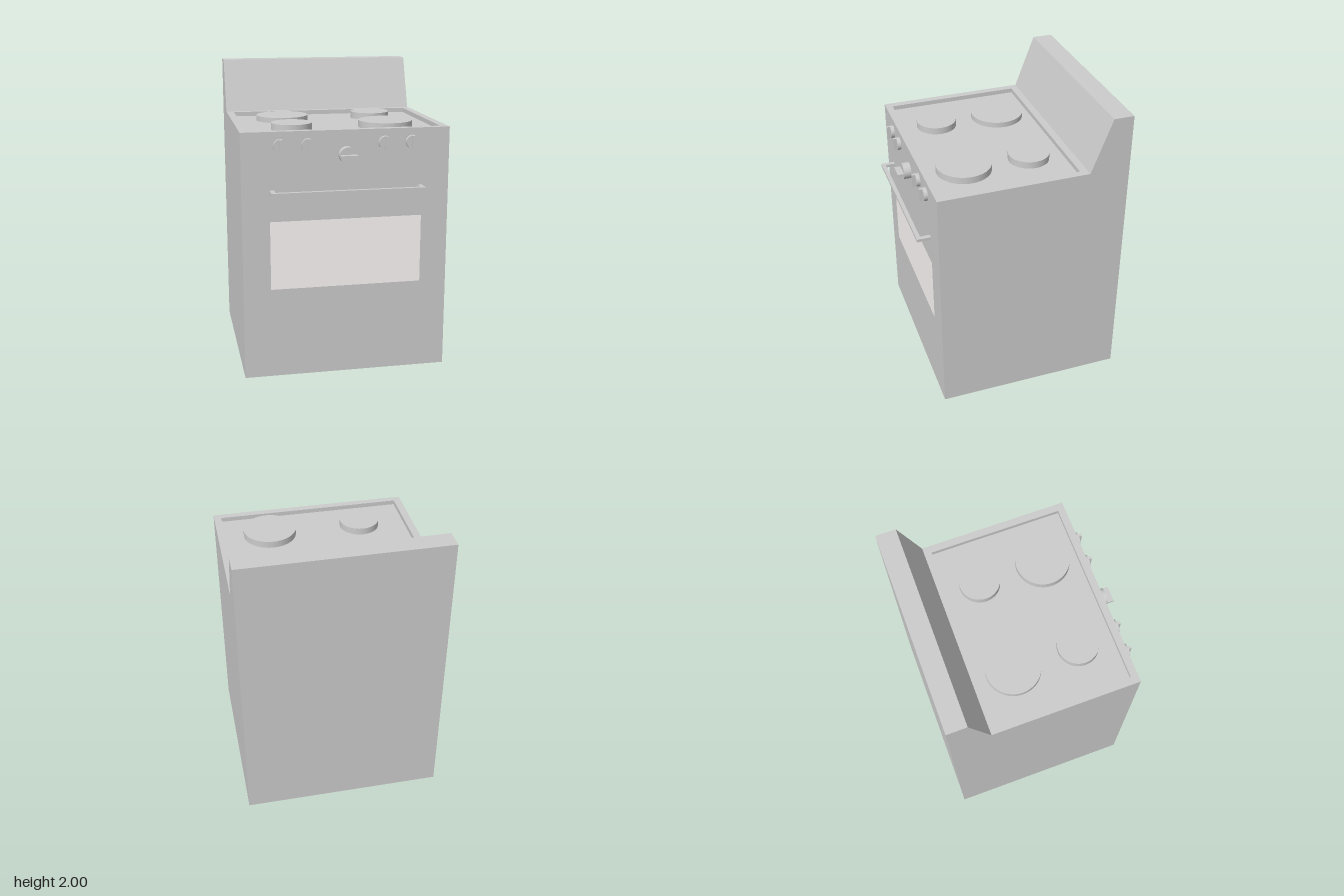
import * as THREE from 'three';

const W = 0.68, FRONT = 0.588, BACK = -0.68, FLOOR = 1.61, TOP = 1.64;

export function createModel() {
  const stove = new THREE.Group();
  stove.name = 'stove';
  const grey = new THREE.MeshStandardMaterial({ color: 0xcccccc });
  const glass = new THREE.MeshStandardMaterial({ color: 0xfdf8f7 });

  const add = (name, geometry, x = 0, y = 0, z = 0, parent = stove, material = grey) => {
    const mesh = new THREE.Mesh(geometry, material);
    mesh.name = name;
    mesh.position.set(x, y, z);
    parent.add(mesh);
    return mesh;
  };
  const rect = (x0, y0, x1, y1, Type = THREE.Shape) => new Type(
    [[x0, y0], [x1, y0], [x1, y1], [x0, y1]].map(p => new THREE.Vector2(...p)));
  const extrude = (shape, depth) =>
    new THREE.ExtrudeGeometry(shape, { depth, bevelEnabled: false });

  // Cabinet up to the sunken cooktop floor
  add('cabinet', new THREE.BoxGeometry(2 * W, FLOOR, FRONT - BACK), 0, FLOOR / 2, (FRONT + BACK) / 2);

  // Raised rim around the cooktop (shape y is -z)
  const rim = rect(-W, -FRONT, W, 0.41);
  rim.holes.push(rect(-0.63, -0.54, 0.63, 0.36, THREE.Path));
  add('cooktopRim', extrude(rim, TOP - FLOOR).rotateX(-Math.PI / 2), 0, FLOOR, 0);

  // Sloped backguard: side profile (-z, y) swept across the width
  const profile = new THREE.Shape(
    [[0.41, FLOOR], [0.68, FLOOR], [0.68, 2], [0.545, 2], [0.41, TOP]]
      .map(p => new THREE.Vector2(...p)));
  add('backguard', extrude(profile, 2 * W).rotateY(Math.PI / 2), -W, 0, 0);

  // Burners: x, z, radius, top height
  for (const [x, z, r, top] of [
    [-0.313, -0.133, 0.18, 1.646], [0.32, -0.133, 0.135, 1.656],
    [-0.313, 0.308, 0.135, 1.656], [0.32, 0.308, 0.18, 1.656],
  ]) {
    const h = top - FLOOR;
    add('burner', new THREE.CylinderGeometry(r, r, h, 64), x, FLOOR + h / 2, z);
  }

  // Knobs: round base with a thin grip across it
  const knob = (name, x, y, r, depth, gripDepth, gripWidth, turn) => {
    const group = new THREE.Group();
    group.name = name;
    group.position.set(x, y, FRONT);
    group.rotation.z = turn;
    add('knobBase', new THREE.CylinderGeometry(r, r, depth, 40).rotateX(Math.PI / 2), 0, 0, depth / 2, group);
    add('knobGrip', new THREE.BoxGeometry(gripWidth, 2 * r * 0.98, gripDepth), 0, 0, gripDepth / 2, group);
    stove.add(group);
  };
  for (const x of [-0.43, -0.25, 0.25, 0.43]) knob('burnerKnob', x, 1.55, 0.044, 0.025, 0.045, 0.018, 0);
  knob('ovenKnob', 0, 1.48, 0.055, 0.05, 0.092, 0.014, Math.PI / 2);

  // Door handle: flat U-shaped bar
  const bar = new THREE.Shape(
    [[-0.5, -FRONT], [-0.5, -0.68], [0.5, -0.68], [0.5, -FRONT],
      [0.47, -FRONT], [0.47, -0.653], [-0.47, -0.653], [-0.47, -FRONT]]
      .map(p => new THREE.Vector2(...p)));
  add('doorHandle', extrude(bar, 0.02).rotateX(-Math.PI / 2), 0, 1.245, 0);

  // Oven window, flush with the door
  add('ovenWindow', new THREE.PlaneGeometry(1, 0.455), 0, 0.832, FRONT + 0.002, stove, glass);

  return stove;
}
